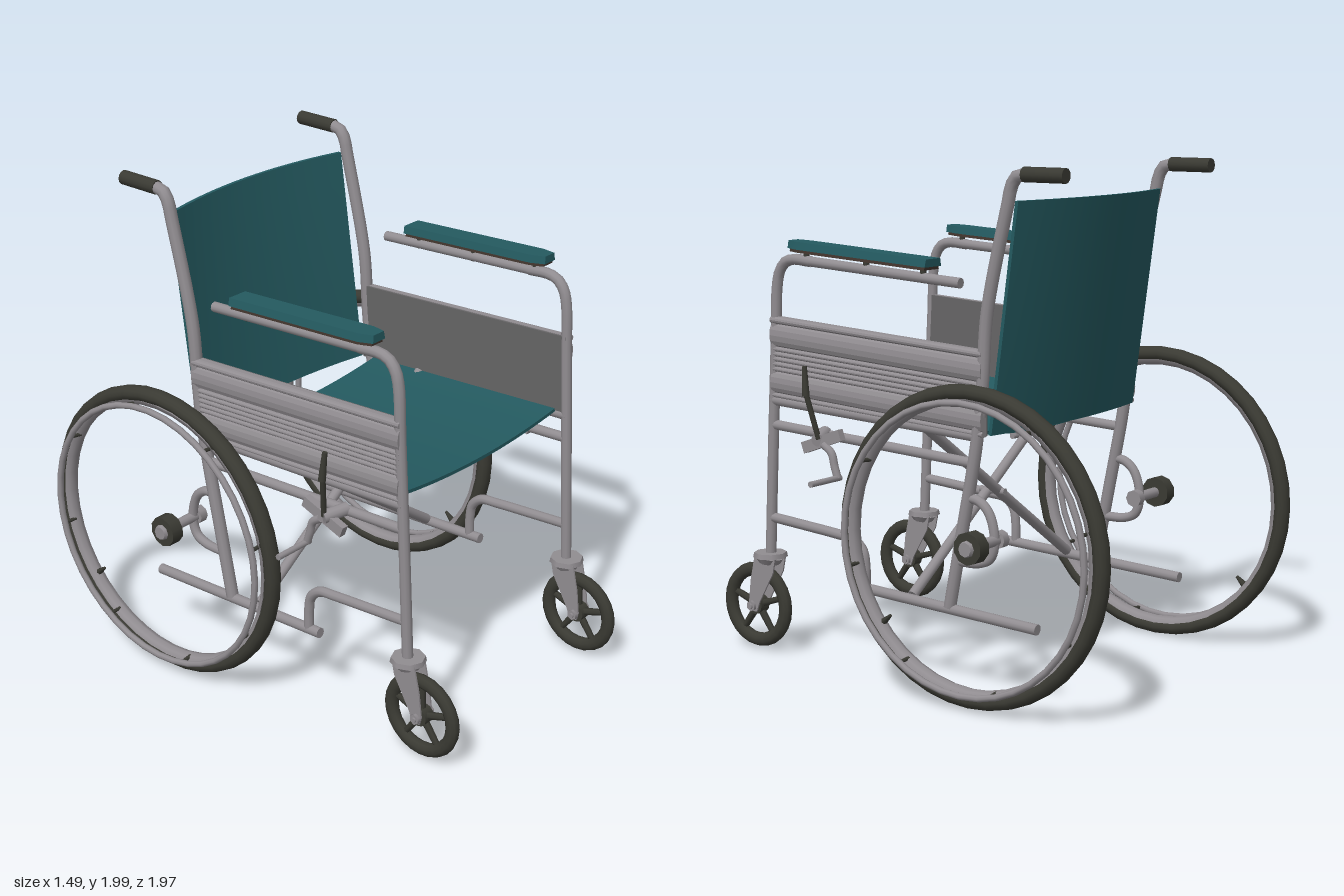
import * as THREE from 'three';

const mat = (name, color, side = THREE.FrontSide) => {
  const m = new THREE.MeshStandardMaterial({ color, side });
  m.name = name;
  return m;
};

export function createModel() {
  const root = new THREE.Group();
  root.name = 'wheelchair';
  const teal = mat('tealFabric', 0x245a60);
  const steel = mat('steel', 0x918d91, THREE.DoubleSide);
  const rubber = mat('rubber', 0x3a3a33);
  const panelGrey = mat('panelGrey', 0x666566);
  const brown = mat('padBase', 0x3c3029);

  const V = (x, y, z) => new THREE.Vector3(x, y, z);
  const add = (name, geo, m, parent = root) => {
    const mesh = new THREE.Mesh(geo, m);
    mesh.name = name;
    parent.add(mesh);
    return mesh;
  };
  // capped straight bar between two points
  const rod = (name, a, b, r, m = steel, parent = root, r2 = r, sides = 12) => {
    const d = b.clone().sub(a);
    const mesh = add(name, new THREE.CylinderGeometry(r2, r, d.length(), sides), m, parent);
    mesh.position.copy(a).add(b).multiplyScalar(0.5);
    mesh.quaternion.setFromUnitVectors(V(0, 1, 0), d.normalize());
    return mesh;
  };
  // bent bar in a side plane, points given as [z, y]
  const bent = (name, x, pts, r, m = steel, parent = root) => {
    const curve = new THREE.CatmullRomCurve3(pts.map(([z, y]) => V(x, y, z)), false, 'centripetal');
    return add(name, new THREE.TubeGeometry(curve, pts.length * 6, r, 10), m, parent);
  };
  // move every vertex by a rule
  const warp = (geo, rule) => {
    const p = geo.attributes.position, v = V(0, 0, 0);
    for (let i = 0; i < p.count; i++) {
      rule(v.fromBufferAttribute(p, i));
      p.setXYZ(i, v.x, v.y, v.z);
    }
    geo.computeVertexNormals();
    return geo;
  };

  // sagging seat sling
  add('seat', warp(new THREE.BoxGeometry(1.0, 0.014, 0.935, 16, 1, 4), v => {
    v.z += 0.193;
    v.y += 1.01 + (v.z + 0.275) * 0.055 - 0.038 * (1 - (v.x / 0.5) ** 2);
  }), teal);

  // bowed, reclined back sling
  add('backrest', warp(new THREE.BoxGeometry(0.97, 0.87, 0.014, 16, 8, 1), v => {
    const t = (v.y + 0.435) / 0.87;
    v.y += 1.44;
    v.z += -0.345 - 0.12 * t - (0.045 + 0.02 * t) * (1 - (v.x / 0.485) ** 2);
  }), teal);

  // folding cross brace
  rod('crossBraceFront', V(-0.49, 1.02, 0.02), V(0.49, 0.345, 0.02), 0.021);
  rod('crossBraceRear', V(0.49, 1.02, -0.03), V(-0.49, 0.345, -0.03), 0.021);
  rod('crossPivot', V(0, 0.68, -0.065), V(0, 0.68, 0.055), 0.014);

  const shear = v => { v.y += (v.z + 0.335) * 0.055; };

  for (const s of [1, -1]) {
    const g = new THREE.Group();
    g.name = s > 0 ? 'leftSide' : 'rightSide';
    root.add(g);
    const X = s * 0.503;
    const P = (x, y, z) => V(s * x, y, z);

    // main frame tubes
    bent('frontPost', X, [[0.737, 0.41], [0.715, 0.85], [0.69, 1.3], [0.68, 1.5], [0.665, 1.56],
      [0.635, 1.597], [0.59, 1.61], [0.5, 1.605]], 0.022, steel, g);
    rod('armBar', P(0.503, 1.607, 0.53), P(0.503, 1.565, -0.225), 0.02, steel, g);
    bent('backPost', X, [[-0.17, 0.33], [-0.23, 0.63], [-0.295, 0.96], [-0.325, 1.2], [-0.345, 1.46],
      [-0.44, 1.87], [-0.455, 1.93], [-0.48, 1.965], [-0.54, 1.972]], 0.025, steel, g);
    rod('pushGrip', P(0.503, 1.972, -0.51), P(0.503, 1.972, -0.692), 0.028, rubber, g);
    rod('seatRail', P(0.503, 1.045, 0.71), P(0.503, 1.0, -0.3), 0.022, steel, g);
    rod('middleRail', P(0.503, 0.945, 0.71), P(0.503, 0.897, -0.28), 0.02, steel, g);
    bent('lowerRail', X, [[0.72, 0.565], [0.55, 0.553], [0.38, 0.54], [0.3, 0.53], [0.255, 0.49],
      [0.243, 0.43], [0.242, 0.34]], 0.02, steel, g);
    rod('bottomRail', P(0.503, 0.345, 0.3), P(0.503, 0.305, -0.575), 0.021, steel, g);
    bent('axleBracket', X, [[-0.255, 0.765], [-0.31, 0.755], [-0.355, 0.715], [-0.38, 0.615],
      [-0.36, 0.545], [-0.31, 0.52], [-0.21, 0.515]], 0.019, steel, g);

    // ribbed side panel with a plain inner face
    const shape = new THREE.Shape();
    const x0 = 0.512;
    let y = 1.325;
    shape.moveTo(s * 0.492, y);
    for (const h of [0.03, 0.09, 0.02, 0.02, 0.02, 0.02, 0.02, 0.085, 0.02]) {
      const bulge = Math.min(h * 0.6, 0.02);
      for (let i = 0; i <= 6; i++) {
        const a = Math.PI * i / 6;
        shape.lineTo(s * (x0 + bulge * Math.sin(a)), y - h * (1 - Math.cos(a)) / 2);
      }
      y -= h;
    }
    shape.lineTo(s * 0.492, y);
    const panel = new THREE.ExtrudeGeometry(shape, { depth: 1.035, bevelEnabled: false });
    panel.translate(0, 0, -0.335);
    add('sidePanel', warp(panel, shear), steel, g);
    const inner = new THREE.BoxGeometry(0.008, 0.32, 1.03);
    inner.translate(s * 0.488, 1.163, 0.182);
    add('innerPanel', warp(inner, shear), panelGrey, g);

    // armrest pad with chamfered ends
    const pad = (name, w, h, len, m, yc) => {
      const geo = warp(new THREE.BoxGeometry(w, h, len, 2, 1, 12), v => {
        const end = Math.max(0, (v.z - (len / 2 - 0.06)) / 0.06);
        v.x *= (1 - 0.35 * end) * (v.y > 0 ? 0.86 : 1);
      });
      const mesh = add(name, geo, m, g);
      mesh.position.set(s * 0.507, yc, 0.245);
      mesh.rotation.x = -0.055;
    };
    pad('armPad', 0.1, 0.03, 0.69, teal, 1.653);
    pad('armPadBase', 0.092, 0.012, 0.675, brown, 1.632);
    for (const z of [0.525, 0.225, -0.05])
      rod('padScrew', P(0.503, 1.56 + z * 0.055, z), P(0.503, 1.63 + z * 0.055, z), 0.012, rubber, g);

    // drive wheel, turned so its axis lies along x
    const wheel = new THREE.Group();
    wheel.name = 'driveWheel';
    wheel.position.set(s * 0.655, 0.615, -0.38);
    wheel.rotation.y = s * Math.PI / 2;
    g.add(wheel);
    add('tire', new THREE.TorusGeometry(0.576, 0.03, 12, 40), rubber, wheel).scale.z = 1.17;
    const rim = add('rim', new THREE.LatheGeometry(
      [[0.556, -0.03], [0.537, -0.022], [0.53, 0], [0.537, 0.022], [0.556, 0.03]]
        .map(([r, h]) => new THREE.Vector2(r, h)), 40), steel, wheel);
    rim.rotation.x = Math.PI / 2;
    add('handRim', new THREE.TorusGeometry(0.545, 0.013, 8, 40), steel, wheel).position.z = 0.066;
    for (let i = 0; i < 8; i++) {
      const a = (i + 0.3) * Math.PI / 4, c = Math.cos(a), d = Math.sin(a);
      rod('handRimClip', V(0.538 * c, 0.538 * d, 0.012), V(0.545 * c, 0.545 * d, 0.066), 0.008, rubber, wheel, 0.008, 6);
    }
    rod('axle', V(0, 0, -0.2), V(0, 0, -0.02), 0.021, steel, wheel);
    rod('axleNut', V(0, 0, -0.2), V(0, 0, -0.165), 0.035, steel, wheel, 0.035, 8);
    rod('hub', V(0, 0, -0.035), V(0, 0, 0.02), 0.062, rubber, wheel, 0.062, 10);
    rod('hubCap', V(0, 0, 0.015), V(0, 0, 0.035), 0.034, steel, wheel, 0.028, 8);
    rod('valve', V(-0.375, -0.31, 0), V(-0.41, -0.34, 0), 0.006, rubber, wheel, 0.014, 6);

    // front caster with five spokes
    const caster = new THREE.Group();
    caster.name = 'caster';
    caster.position.set(X, 0.193, 0.81);
    caster.rotation.y = s * Math.PI / 2;
    g.add(caster);
    add('casterTire', new THREE.TorusGeometry(0.147, 0.028, 10, 24), rubber, caster).scale.z = 0.85;
    rod('casterHub', V(0, 0, -0.024), V(0, 0, 0.024), 0.038, rubber, caster);
    for (let i = 0; i < 5; i++) {
      const a = Math.PI / 2 + i * Math.PI * 0.4;
      rod('casterSpoke', V(0, 0, 0), V(0.135 * Math.cos(a), 0.135 * Math.sin(a), 0), 0.016, rubber, caster, 0.013, 6);
    }
    rod('casterBolt', V(0, 0, -0.055), V(0, 0, 0.055), 0.011, steel, caster);
    for (const e of [-0.042, 0.042])
      rod('casterNut', V(0, 0, e - 0.006), V(0, 0, e + 0.006), 0.022, steel, caster, 0.022, 6);

    // caster fork and swivel plate
    const fork = new THREE.Shape([[0.795, 0.41], [0.685, 0.41], [0.7, 0.34], [0.775, 0.21], [0.79, 0.17],
      [0.825, 0.17], [0.832, 0.2], [0.82, 0.3]].map(([z, h]) => new THREE.Vector2(-z, h)));
    for (const e of [-0.034, 0.027]) {
      const geo = new THREE.ExtrudeGeometry(fork, { depth: 0.007, bevelEnabled: false });
      geo.rotateY(Math.PI / 2);
      add('forkBlade', geo, steel, g).position.x = X + e;
    }
    rod('forkCrown', P(0.503, 0.375, 0.745), P(0.503, 0.4, 0.742), 0.045, steel, g, 0.06, 8);
    rod('swivelPlate', P(0.503, 0.4, 0.74), P(0.503, 0.42, 0.74), 0.07, steel, g, 0.066, 8);

    // parking brake
    rod('brakeClamp', P(0.503, 0.94, 0.44), P(0.595, 0.925, 0.4), 0.026, steel, g);
    const plate = add('brakePlate', new THREE.BoxGeometry(0.03, 0.045, 0.2), steel, g);
    plate.position.set(s * 0.575, 0.92, 0.39);
    plate.rotation.x = 0.35;
    rod('brakeLever', P(0.59, 0.93, 0.4), P(0.63, 1.12, 0.43), 0.011, rubber, g);
    rod('brakeHandle', P(0.63, 1.1, 0.427), P(0.625, 1.215, 0.437), 0.015, rubber, g, 0.01);
    bent('brakeArm', s * 0.585, [[0.38, 0.91], [0.34, 0.88], [0.325, 0.83], [0.31, 0.785]], 0.016, steel, g);
    rod('brakeShoe', P(0.57, 0.785, 0.31), P(0.745, 0.785, 0.31), 0.012, steel, g);
  }
  return root;
}
